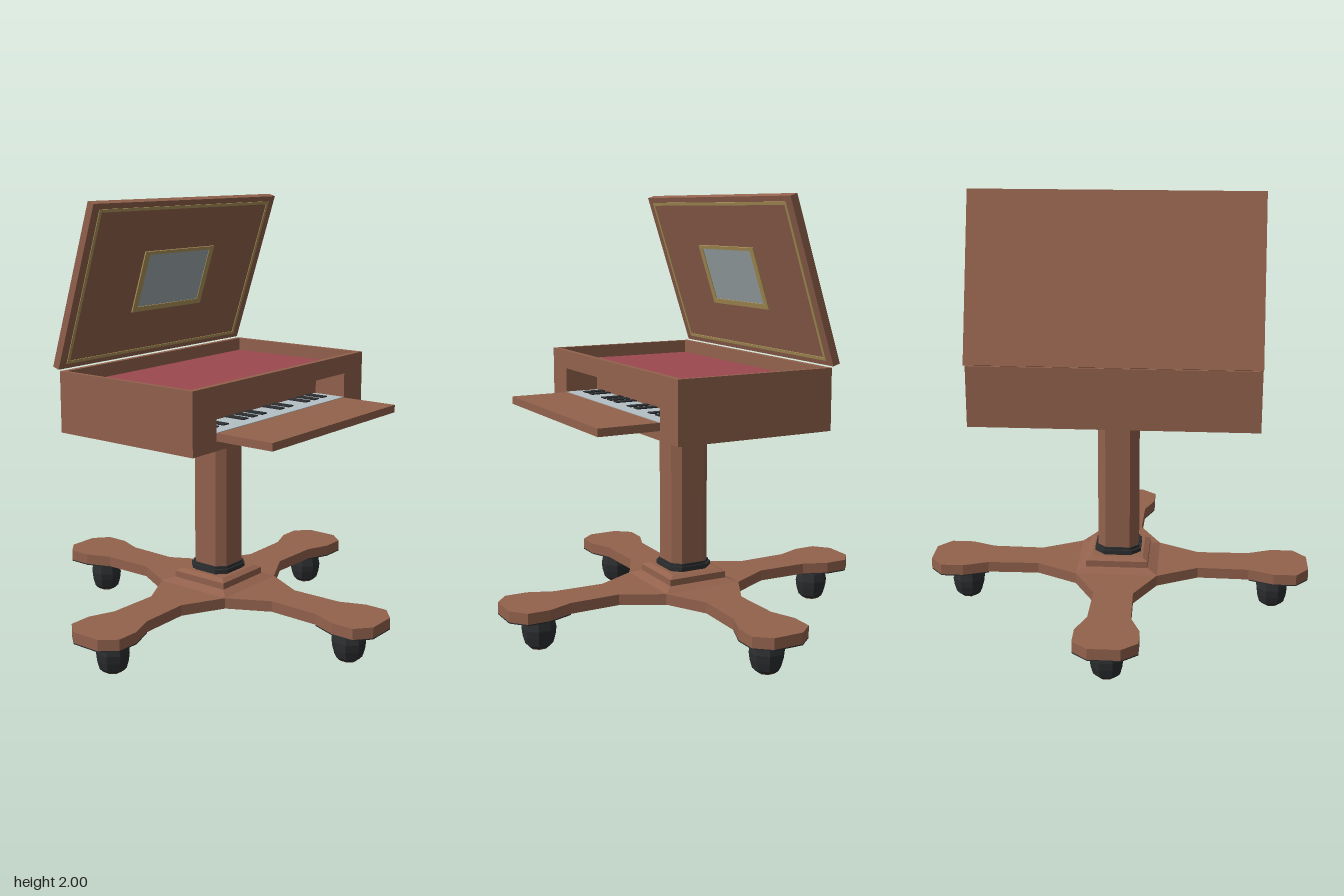
import * as THREE from 'three';

const paint = (name, color) => Object.assign(new THREE.MeshStandardMaterial({ color }), { name });

export function createModel() {
  const wood = paint('brown wood', 0x93624d);
  const felt = paint('red felt', 0x9c484f);
  const brass = paint('dull gold', 0xb0965a);
  const glass = paint('grey mirror', 0xa0abad);
  const ivory = paint('pale keys', 0xb4c0c4);
  const black = paint('black', 0x2c2e30);

  const model = new THREE.Group();
  model.name = 'musicCabinet';

  // Flat-shaded mesh
  const add = (parent, name, geometry, material) => {
    const flat = geometry.index ? geometry.toNonIndexed() : geometry;
    flat.computeVertexNormals();
    const mesh = new THREE.Mesh(flat, material);
    mesh.name = name;
    parent.add(mesh);
    return mesh;
  };
  // Box given by its limits
  const box = (parent, name, material, [x0, x1], [y0, y1], [z0, z1]) =>
    add(parent, name, new THREE.BoxGeometry(x1 - x0, y1 - y0, z1 - z0)
      .translate((x0 + x1) / 2, (y0 + y1) / 2, (z0 + z1) / 2), material);
  // Upright prism from an outline in plan
  const prism = (parent, name, material, points, y0, y1) => {
    const shape = new THREE.Shape(points.map(([x, y]) => new THREE.Vector2(x, y)));
    return add(parent, name, new THREE.ExtrudeGeometry(shape, { depth: y1 - y0, bevelEnabled: false })
      .rotateX(-Math.PI / 2).translate(0, y0, 0), material);
  };
  // Stack of regular sections, sized by half-width across the flats, profile from bottom to top
  const turned = (parent, name, material, sides, profile) => {
    const k = 1 / Math.cos(Math.PI / sides);
    return add(parent, name, new THREE.LatheGeometry(
      profile.map(([r, y]) => new THREE.Vector2(r * k, y)), sides, Math.PI / sides), material);
  };
  // Square with cut corners
  const cutSquare = (h, c) => [[h, -c], [h, c], [c, h], [-c, h], [-h, c], [-h, -c], [-c, -h], [c, -h]];
  // Flat rectangular frame facing +z
  const frame = (parent, name, material, [x, y0, y1], [ix, iy0, iy1], z0, depth) => {
    const loop = (a, b, c) => [[-a, b], [a, b], [a, c], [-a, c]].map(([px, py]) => new THREE.Vector2(px, py));
    const shape = new THREE.Shape(loop(x, y0, y1));
    shape.holes.push(new THREE.Path(loop(ix, iy0, iy1)));
    return add(parent, name, new THREE.ExtrudeGeometry(shape, { depth, bevelEnabled: false })
      .translate(0, 0, z0), material);
  };

  // Four-armed base with paddle ends
  const paddle = [[0.62, -0.095], [0.735, -0.14], [0.84, -0.14], [0.9, -0.07],
    [0.9, 0.07], [0.84, 0.14], [0.735, 0.14], [0.62, 0.095]];
  const arm = [[0.19, -0.19], [0.38, -0.09], ...paddle, [0.38, 0.09]];
  const outline = [];
  for (let i = 0; i < 4; i++) {
    const c = [1, 0, -1, 0][i], s = [0, 1, 0, -1][i];
    for (const [x, y] of arm) outline.push([x * c - y * s, x * s + y * c]);
  }
  prism(model, 'crossBase', wood, outline, 0.165, 0.215);

  // Casters under the arm ends
  for (let i = 0; i < 4; i++) {
    const caster = new THREE.Group();
    caster.name = 'caster';
    caster.rotation.y = i * Math.PI / 2;
    prism(caster, 'casterPlate', black, paddle, 0.16, 0.165);
    const mount = turned(caster, 'casterMount', black, 8, [[0.05, 0.14], [0.07, 0.15], [0.11, 0.161]]);
    const wheel = turned(caster, 'casterWheel', black, 8, [[0.045, 0.008], [0.058, 0.022], [0.068, 0.06],
      [0.072, 0.095], [0.064, 0.135], [0.05, 0.148], [0, 0.148]]);
    const foot = turned(caster, 'casterFoot', wood, 8, [[0, 0], [0.036, 0.001], [0.045, 0.008]]);
    for (const part of [mount, wheel, foot]) part.position.x = 0.735;
    model.add(caster);
  }

  // Pedestal
  turned(model, 'baseFlare', wood, 4, [[0.19, 0.215], [0.145, 0.232]]);
  turned(model, 'baseBlock', wood, 4, [[0.145, 0.23], [0.145, 0.262], [0.12, 0.275], [0, 0.275]]);
  prism(model, 'column', wood, cutSquare(0.094, 0.057), 0.27, 0.945);
  for (const [y0, y1, yw0, yw1] of [[0.275, 0.312, 0.282, 0.3], [0.903, 0.942, 0.914, 0.934]]) {
    prism(model, 'collar', black, cutSquare(0.1, 0.06), y0, y1);
    prism(model, 'collarBand', black, cutSquare(0.108, 0.066), yw0, yw1);
  }
  turned(model, 'topPlateUnderside', black, 4, [[0, 0.938], [0.115, 0.938], [0.16, 0.949]]);
  turned(model, 'topPlate', wood, 4, [[0.16, 0.949], [0.16, 0.968], [0.125, 0.982], [0.125, 0.992]]);

  // Hollow cabinet with a keyboard opening in front
  const cabinet = new THREE.Group();
  cabinet.name = 'cabinet';
  model.add(cabinet);
  frame(cabinet, 'frontWall', wood, [0.64, 0.99, 1.265], [0.485, 1.03, 1.18], 0.35, 0.025);
  box(cabinet, 'backWall', wood, [-0.64, 0.64], [0.99, 1.265], [-0.375, -0.35]);
  for (const s of [-1, 1]) {
    box(cabinet, 'sideWall', wood, [s * 0.63 - 0.01, s * 0.63 + 0.01], [0.99, 1.265], [-0.35, 0.35]);
    box(cabinet, 'recessEnd', wood, [s * 0.49 - 0.005, s * 0.49 + 0.005], [1.03, 1.18], [0.215, 0.35]);
  }
  box(cabinet, 'floor', wood, [-0.62, 0.62], [0.99, 1.03], [-0.35, 0.35]);
  box(cabinet, 'recessBack', wood, [-0.485, 0.485], [1.03, 1.18], [0.205, 0.215]);
  box(cabinet, 'recessCeiling', wood, [-0.62, 0.62], [1.18, 1.19], [-0.35, 0.35]);
  box(cabinet, 'feltLining', felt, [-0.62, 0.62], [1.19, 1.205], [-0.35, 0.35]);

  // Pull-out shelf and flat keyboard: two octaves
  box(cabinet, 'keyShelf', wood, [-0.48, 0.48], [1.03, 1.065], [0.215, 0.655]);
  const pitch = 0.96 / 14;
  box(cabinet, 'whiteKeys', ivory, [-0.48, 0.48], [1.065, 1.068], [0.215, 0.375]);
  for (let octave = 0; octave < 2; octave++) {
    for (const k of [1, 2, 4, 5, 6]) {
      const x = -0.48 + (octave * 7 + k) * pitch;
      box(cabinet, 'blackKey', black, [x - 0.019, x + 0.019], [1.068, 1.073], [0.215, 0.315]);
    }
  }

  // Leaning lid with gold inlay and a framed mirror
  const lid = new THREE.Group();
  lid.name = 'lid';
  lid.position.set(0, 1.27, -0.383);
  lid.rotation.x = Math.PI / 10;
  model.add(lid);
  box(lid, 'lidPanel', wood, [-0.64, 0.64], [0, 0.756], [-0.035, 0]);
  frame(lid, 'lidInlay', brass, [0.598, 0.022, 0.731], [0.582, 0.036, 0.717], 0, 0.003);
  frame(lid, 'mirrorFrame', brass, [0.243, 0.23, 0.522], [0.212, 0.254, 0.506], 0, 0.006);
  box(lid, 'mirror', glass, [-0.212, 0.212], [0.254, 0.506], [0, 0.003]);

  return model;
}
